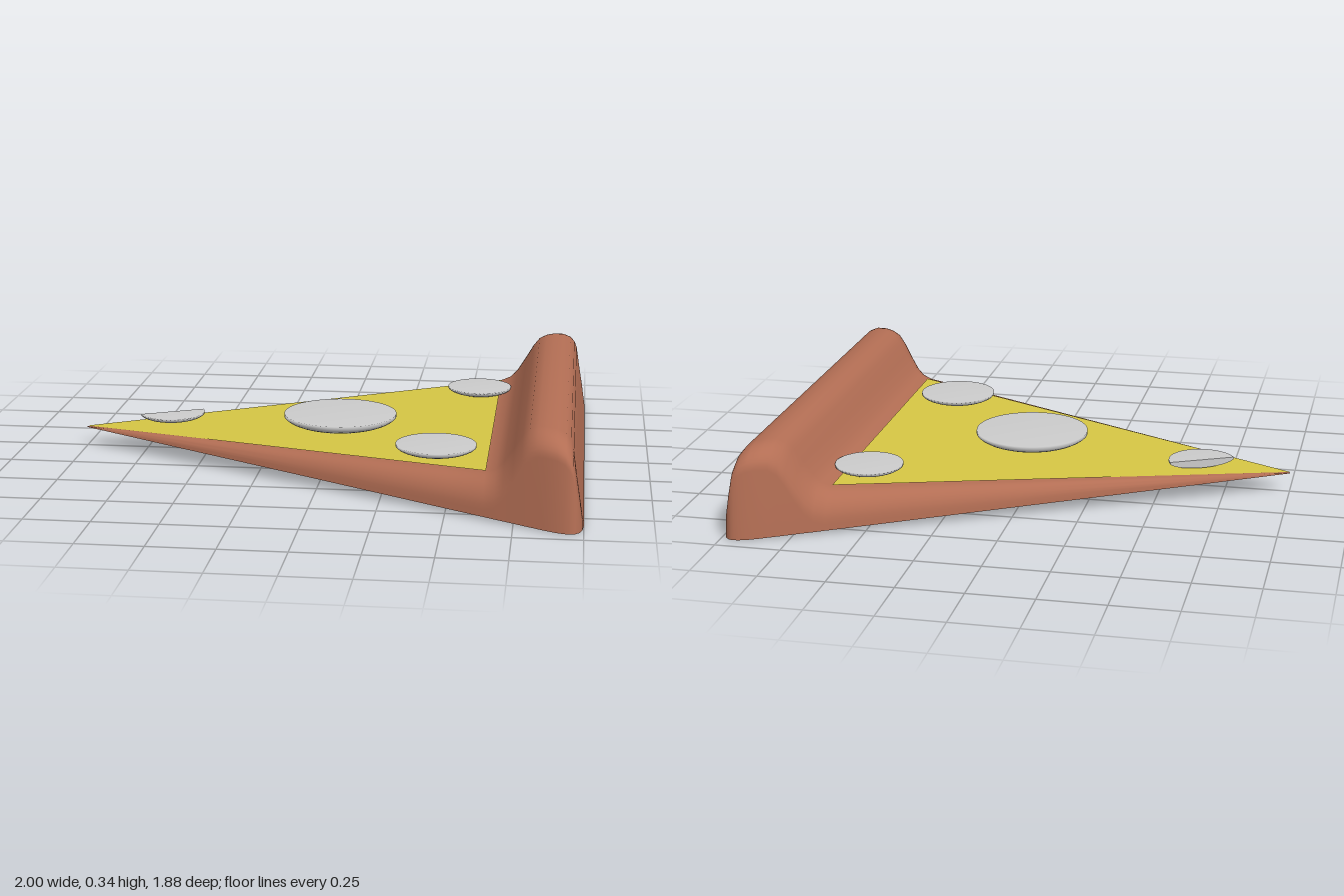
import * as THREE from 'three';
import { toCreasedNormals } from 'three/addons/utils/BufferGeometryUtils.js';

const paint = (color) => new THREE.MeshStandardMaterial({ color, side: THREE.DoubleSide });

// Stations along x: [x, top height, bottom half width, corner width, corner height]
const STATIONS = [
  [-1, 0.077, 0.003, 0.001, 0.001],
  [-0.6, 0.094, 0.2, 0.025, 0.03],
  [0, 0.118, 0.493, 0.06, 0.07],
  [0.5, 0.138, 0.74, 0.095, 0.1],
  [0.64, 0.145, 0.808, 0.11, 0.11],
  [0.68, 0.16, 0.828, 0.12, 0.11],
  [0.71, 0.19, 0.842, 0.13, 0.11],
  [0.745, 0.245, 0.859, 0.13, 0.11],
  [0.775, 0.295, 0.874, 0.13, 0.1],
  [0.8, 0.325, 0.886, 0.13, 0.09],
  [0.83, 0.337, 0.9, 0.13, 0.08],
  [0.86, 0.34, 0.915, 0.13, 0.08],
  [0.9, 0.336, 0.931, 0.13, 0.08],
  [0.93, 0.322, 0.939, 0.13, 0.08],
  [0.948, 0.3, 0.941, 0.12, 0.08],
  [0.958, 0.27, 0.94, 0.1, 0.07],
  [0.97, 0.19, 0.936, 0.08, 0.05],
  [0.985, 0.1, 0.92, 0.06, 0.03],
  [0.995, 0.035, 0.89, 0.04, 0.015],
  [1, 0.008, 0.84, 0.02, 0.004],
];

// Cross-section: flat bottom, leaning sides, rounded upper corners
function section([x, top, w, cw, ch]) {
  const b = Math.max(0, 0.075 - 0.039 * (x + 1));
  const side = w - 0.1 * (top - b - ch);
  const half = [[w, b]];
  for (let i = 0; i <= 8; i++) {
    const a = (i / 8) * Math.PI / 2;
    half.push([side - cw * (1 - Math.cos(a)), top - ch * (1 - Math.sin(a))]);
  }
  const mirrored = half.map(([z, y]) => [-z, y]).reverse();
  return [...half, ...mirrored].map(([z, y]) => [x, y, z]);
}

function doughGeometry() {
  const rings = STATIONS.map(section);
  const n = rings[0].length;
  const index = [];
  for (let s = 0; s < rings.length - 1; s++) {
    for (let i = 0; i < n; i++) {
      const j = (i + 1) % n;
      const a = s * n + i, b = s * n + j, c = a + n, d = b + n;
      index.push(a, c, b, b, c, d);
    }
  }
  // Close the tip and the back
  const last = (rings.length - 1) * n;
  for (let i = 1; i < n - 1; i++) {
    index.push(0, i, i + 1, last, last + i + 1, last + i);
  }
  const geo = new THREE.BufferGeometry();
  geo.setAttribute('position', new THREE.Float32BufferAttribute(rings.flat(2), 3));
  geo.setIndex(index);
  return toCreasedNormals(geo, 0.75);
}

// Shallow dish profile with a flat top, bottom first
function dishProfile(r, depth) {
  const pts = [];
  for (let i = 0; i <= 10; i++) {
    const a = (i / 10) * 1.35;
    pts.push(new THREE.Vector2(r * Math.sin(a) / Math.sin(1.35), -depth * Math.cos(a)));
  }
  pts.push(new THREE.Vector2(r, 0), new THREE.Vector2(0, 0));
  return pts;
}

export function createModel() {
  const model = new THREE.Group();
  const grey = paint(0xcccccc);
  const add = (parent, name, geo, mat) => {
    const mesh = new THREE.Mesh(geo, mat);
    mesh.name = name;
    parent.add(mesh);
    return mesh;
  };

  add(model, 'crust', doughGeometry(), paint(0xb36e54));

  // Cheese sheet
  const cheese = new THREE.BufferGeometry();
  cheese.setAttribute('position', new THREE.Float32BufferAttribute(
    [-1, 0.08, 0, 0.643, 0.15, 0.693, 0.643, 0.15, -0.693], 3));
  cheese.computeVertexNormals();
  add(model, 'cheese', cheese, paint(0xd6c644));

  // Whole round slices: x, top height, z, radius, depth
  [
    [0.035, 0.175, 0.03, 0.222, 0.06],
    [0.56, 0.173, -0.485, 0.13, 0.035],
    [0.445, 0.178, 0.45, 0.152, 0.04],
  ].forEach(([x, y, z, r, depth], i) => {
    const disc = add(model, `toppingSlice${i + 1}`,
      new THREE.LatheGeometry(dishProfile(r, depth), 48), grey);
    disc.position.set(x, y, z);
  });

  // Half slice near the tip, with its cut face
  const halfSlice = new THREE.Group();
  halfSlice.name = 'halfToppingSlice';
  const profile = dishProfile(0.13, 0.033);
  add(halfSlice, 'halfDisc', new THREE.LatheGeometry(profile, 24, 0, Math.PI), grey);
  const outline = [...profile, ...profile.slice(1, -1).reverse().map((p) => new THREE.Vector2(-p.x, p.y))];
  const cut = new THREE.ShapeGeometry(new THREE.Shape(
    [...profile.slice(0, -1), ...outline.slice(profile.length)]));
  cut.rotateY(-Math.PI / 2);
  add(halfSlice, 'cutFace', cut, grey);
  halfSlice.position.set(-0.663, 0.131, -0.073);
  halfSlice.rotation.y = -1.115;
  model.add(halfSlice);

  return model;
}
